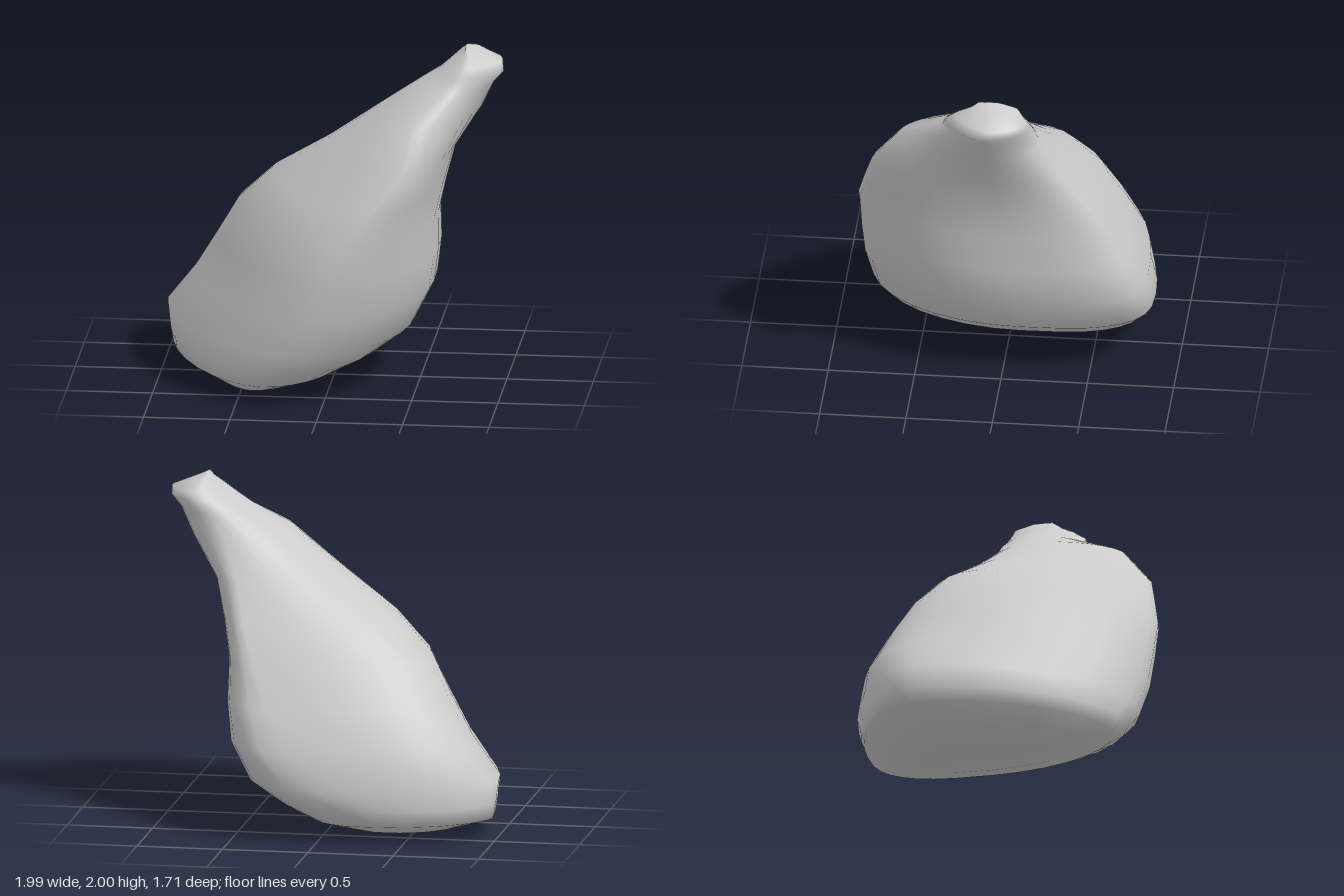
import * as THREE from 'three';

// Horizontal cross-sections from base to tip:
// y, xMin, xMax, zMin, zMax, then x of front ridge, x of back corner, z of left edge, z of right edge
const SECTIONS = [
  [0.005, -0.58, -0.33, -0.33, 0.25, -0.46, -0.46, -0.10, -0.05],
  [0.04, -0.77, -0.12, -0.57, 0.53, -0.42, -0.40, -0.25, -0.08],
  [0.11, -0.97, 0.10, -0.76, 0.69, -0.35, -0.30, -0.36, -0.10],
  [0.20, -0.985, 0.28, -0.80, 0.76, -0.28, -0.18, -0.36, -0.10],
  [0.33, -1.00, 0.46, -0.85, 0.81, -0.18, 0.00, -0.35, -0.10],
  [0.55, -0.83, 0.57, -0.82, 0.85, -0.08, 0.18, -0.32, -0.10],
  [0.77, -0.70, 0.60, -0.72, 0.86, 0.02, 0.30, -0.27, -0.05],
  [1.00, -0.57, 0.605, -0.61, 0.86, 0.14, 0.39, -0.18, 0.00],
  [1.20, -0.37, 0.65, -0.49, 0.81, 0.29, 0.47, -0.10, 0.00],
  [1.42, -0.04, 0.71, -0.35, 0.75, 0.47, 0.53, 0.02, 0.02],
  [1.65, 0.27, 0.86, -0.23, 0.58, 0.54, 0.62, 0.08, 0.05],
  [1.80, 0.50, 0.93, -0.20, 0.32, 0.70, 0.72, 0.06, 0.06],
  [1.87, 0.61, 0.99, -0.19, 0.30, 0.76, 0.80, 0.06, 0.08],
  [1.92, 0.67, 0.98, -0.17, 0.24, 0.78, 0.83, 0.04, 0.04],
  [1.97, 0.73, 0.86, -0.13, 0.15, 0.79, 0.79, 0.02, 0.02],
  [2.00, 0.765, 0.78, -0.02, 0.10, 0.77, 0.77, 0.04, 0.04],
];
const QUARTER = 8;

// Fullness of the four quarters (2 is elliptical): front left, front right, back right, back left
function fullness(y) {
  const { lerp, smoothstep } = THREE.MathUtils;
  const neck = smoothstep(y, 1.3, 1.65);
  const rise = smoothstep(y, 0.33, 0.65);
  const upper = smoothstep(y, 0.6, 1.3);
  return [1.65, lerp(2, 1.4, neck), lerp(3, 2, upper), lerp(lerp(1.82, 2.45, rise), 2, neck)];
}

// Closed outline: four rounded quarters joining the left, front, right and back extremes
function outline([y, x0, x1, z0, z1, xf, xb, zl, zr]) {
  const ends = [[x0, zl], [xf, z1], [x1, zr], [xb, z0]];
  const powers = fullness(y);
  const points = [];
  for (let q = 0; q < 4; q++) {
    const a = ends[q], b = ends[(q + 1) % 4];
    // centre of the quarter: even quarters leave along z, odd ones along x
    const cx = q % 2 ? a[0] : b[0];
    const cz = q % 2 ? b[1] : a[1];
    for (let i = 0; i < QUARTER; i++) {
      const t = (i / QUARTER) * Math.PI / 2;
      const u = Math.pow(Math.cos(t), 2 / powers[q]);
      const v = Math.pow(Math.sin(t), 2 / powers[q]);
      points.push(new THREE.Vector3(
        cx + (a[0] - cx) * u + (b[0] - cx) * v, y,
        cz + (a[1] - cz) * u + (b[1] - cz) * v));
    }
  }
  return points;
}

function loft(rings) {
  const n = rings[0].length;
  const points = rings.flat();
  const index = [];
  for (let r = 0; r < rings.length - 1; r++) {
    for (let j = 0; j < n; j++) {
      const a = r * n + j, b = r * n + (j + 1) % n;
      index.push(a, b, a + n, b, b + n, a + n);
    }
  }
  // end caps
  const centre = (ring) => ring.reduce((s, p) => s.add(p), new THREE.Vector3()).divideScalar(n);
  const bottom = points.push(centre(rings[0])) - 1;
  const top = points.push(centre(rings[rings.length - 1])) - 1;
  const last = (rings.length - 1) * n;
  for (let j = 0; j < n; j++) {
    const k = (j + 1) % n;
    index.push(bottom, k, j, top, last + j, last + k);
  }
  points[bottom].y = 0;
  const geometry = new THREE.BufferGeometry().setFromPoints(points);
  geometry.setIndex(index);
  geometry.computeVertexNormals();
  return geometry;
}

export function createModel() {
  const group = new THREE.Group();
  group.name = 'leaningPear';
  const material = new THREE.MeshStandardMaterial({ color: 0xcccccc });
  // Single smooth body leaning towards its narrow neck
  const body = new THREE.Mesh(loft(SECTIONS.map(outline)), material);
  body.name = 'body';
  group.add(body);
  return group;
}
